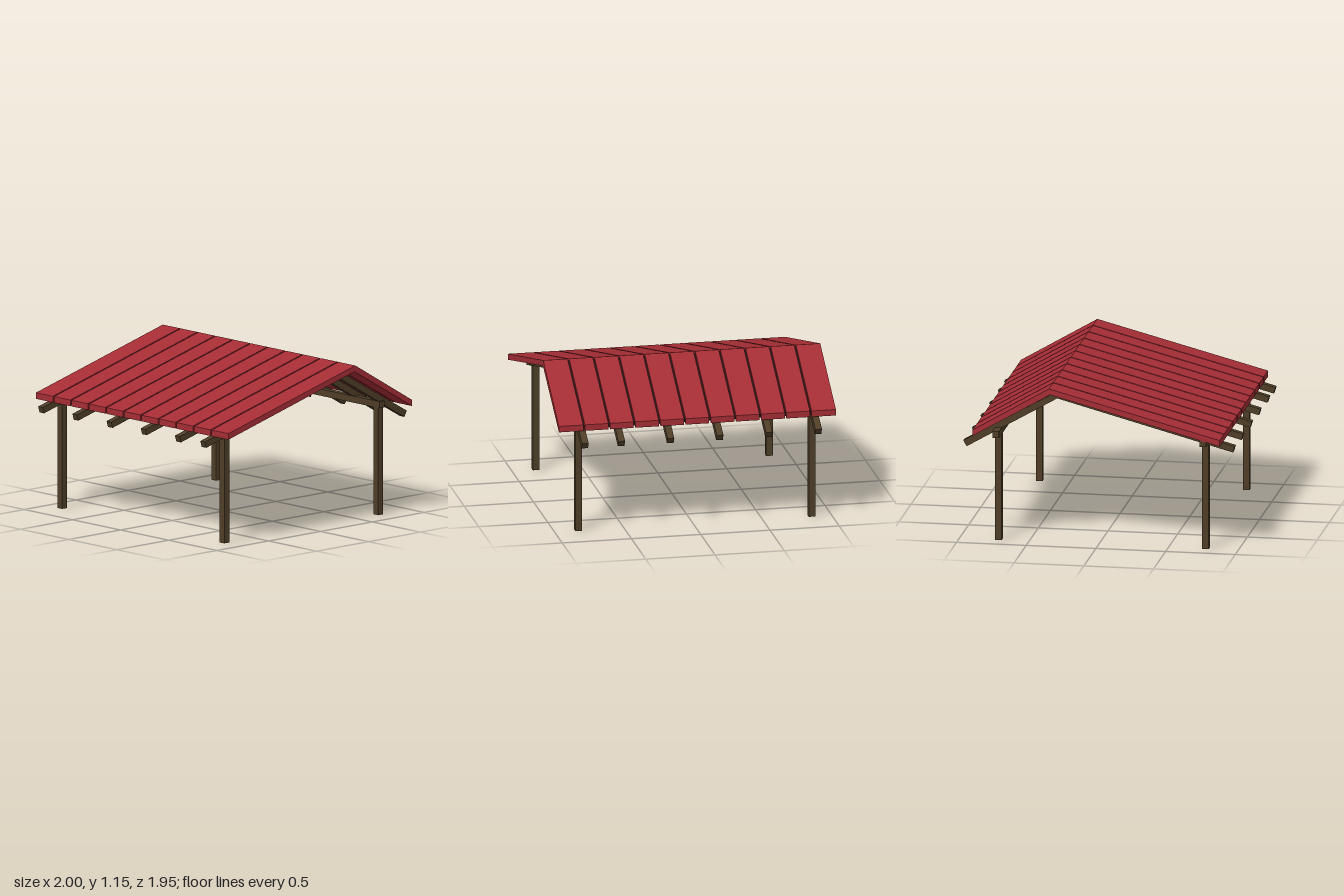
import * as THREE from 'three';

const wood = new THREE.MeshStandardMaterial({ color: 0x4f3e28 });
const red = new THREE.MeshStandardMaterial({ color: 0xa52d35 });
const dark = new THREE.MeshStandardMaterial({ color: 0x2c1715 });

// Extrudes a side profile of [z, y] points across a width in x.
function sideProfile(points, width) {
  const shape = new THREE.Shape(points.map(([z, y]) => new THREE.Vector2(z, y)));
  const geo = new THREE.ExtrudeGeometry(shape, { depth: width, bevelEnabled: false });
  geo.translate(0, 0, -width / 2);
  geo.rotateY(-Math.PI / 2);
  return geo;
}

export function createModel() {
  const model = new THREE.Group();
  const add = (name, geo, mat, x, y = 0, z = 0) => {
    const mesh = new THREE.Mesh(geo, mat);
    mesh.name = name;
    mesh.position.set(x, y, z);
    model.add(mesh);
  };

  const beamY = 0.773, size = 0.048;
  const postZ = { front: 0.765, back: -0.72 };
  const postX = [-0.857, 0.827];

  // Posts and the long beams resting on them
  const post = new THREE.BoxGeometry(size, beamY, size);
  const beam = new THREE.BoxGeometry(1.86, size, size);
  for (const [side, z] of Object.entries(postZ)) {
    for (const x of postX) add(side + 'Post', post, wood, x, beamY / 2, z);
    add(side + 'Beam', beam, wood, -0.065, beamY + size / 2, z);
  }

  // Bent rafters with square-cut ends
  const rafter = sideProfile([
    [0.963, 0.713], [0.976, 0.757], [-0.303, 1.1],
    [-0.972, 0.716], [-0.948, 0.674], [-0.298, 1.052],
  ], size);
  for (const x of [-0.857, -0.501, -0.146, 0.209, 0.564, 0.827]) add('rafter', rafter, wood, x);

  // Roof panels folded over the ridge, with narrow recessed seams between
  const count = 11, pitch = 2 / count, gap = 0.012;
  const roof = (inset) => [
    [0.888 - inset, 0.783 + inset], [0.888 - inset, 0.827 - inset], [-0.337, 1.15 - inset],
    [-0.885 + inset, 0.827 - inset], [-0.885 + inset, 0.783 + inset], [-0.328, 1.107 + inset],
  ];
  const seam = sideProfile(roof(0.014), gap);
  for (let i = 0; i < count; i++) {
    const x0 = -1 + i * pitch + (i ? gap / 2 : 0);
    const x1 = -1 + (i + 1) * pitch - (i < count - 1 ? gap / 2 : 0);
    add('roofPanel', sideProfile(roof(0), x1 - x0), red, (x0 + x1) / 2);
    if (i) add('roofSeam', seam, dark, -1 + i * pitch);
  }
  return model;
}
